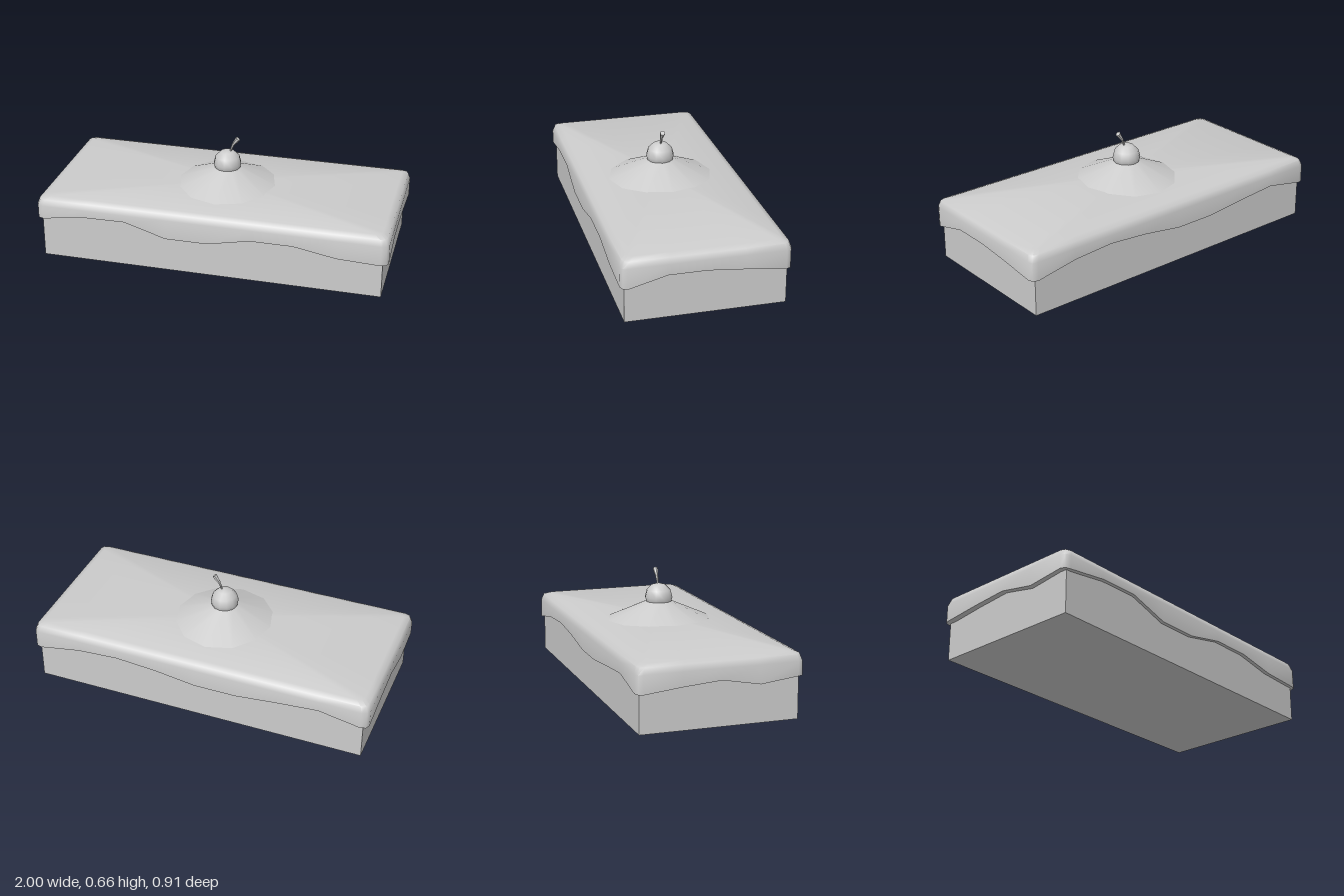
import * as THREE from 'three';
import { toCreasedNormals } from 'three/addons/utils/BufferGeometryUtils.js';

const material = new THREE.MeshStandardMaterial({ color: 0xcccccc });

function addPart(group, name, geometry, y = 0) {
  const mesh = new THREE.Mesh(geometry, material);
  mesh.name = name;
  mesh.position.y = y;
  group.add(mesh);
  return mesh;
}

// Joins closed rings of equal length, bottom to top, and caps the upper end at a point
function skinRings(rings, tip) {
  const n = rings[0].length;
  const positions = rings.flat(2).concat(tip);
  const index = [];
  for (let k = 0; k < rings.length; k++) {
    for (let i = 0; i < n; i++) {
      const a = k * n + i, b = k * n + (i + 1) % n;
      if (k === rings.length - 1) index.push(a, b, rings.length * n);
      else index.push(a, b, b + n, a, b + n, a + n);
    }
  }
  const geometry = new THREE.BufferGeometry();
  geometry.setAttribute('position', new THREE.Float32BufferAttribute(positions, 3));
  geometry.setIndex(index);
  return geometry;
}

// Icing: rounded slab whose lower edge runs in uneven drips
function icingGeometry() {
  const a = 0.998, b = 0.457;
  // Drip heights, each running counterclockwise seen from above
  const drips = {
    front: [0.24, 0.275, 0.278, 0.205, 0.205, 0.255, 0.255, 0.213, 0.203],
    left: [0.203, 0.258, 0.258, 0.238, 0.212],
    back: [0.212, 0.255, 0.27, 0.25, 0.215, 0.215, 0.24, 0.26, 0.215],
    right: [0.215, 0.238, 0.255, 0.215, 0.24],
  };
  const outline = []; // [x, z, drip height]
  const side = (heights, place, corner) => {
    heights.forEach((h, i) => {
      const t = (2 * i) / (heights.length - 1) - 1;
      outline.push([...place(t), h]);
    });
    outline.push([...corner, heights[heights.length - 1]]);
  };
  const ex = a - 0.04, ez = b - 0.035, cx = a - 0.011, cz = b - 0.01;
  side(drips.front, t => [t * ex, b], [cx, cz]);
  side(drips.left, t => [a, -t * ez], [cx, -cz]);
  side(drips.back, t => [-t * ex, -b], [-cx, -cz]);
  side(drips.right, t => [-a, t * ez], [-cx, cz]);

  const ring = (inset, y) => outline.map(([x, z, h]) =>
    [x * (1 - inset / a), y ?? h, z * (1 - inset / b)]);
  const rings = [ring(0.04), ring(0), ring(0, 0.318), ring(0.012, 0.353), ring(0.045, 0.366)];
  return toCreasedNormals(skinRings(rings, [0, 0.385, 0]), 0.9);
}

// Stem: six-sided, bent and widening towards its cut end
function stemGeometry() {
  const stations = [[0.012, 0.555, 0.004, 0.3], [0.032, 0.608, 0.008, 0.5], [0.061, 0.648, 0.015, 0.75]];
  const rings = stations.map(([x, y, r, tilt]) => Array.from({ length: 6 }, (_, i) => {
    const t = (i / 6) * Math.PI * 2;
    const u = Math.cos(t) * r;
    return [x + u * Math.cos(tilt), y - u * Math.sin(tilt), -Math.sin(t) * r];
  }));
  return toCreasedNormals(skinRings(rings, [0.061, 0.648, 0]), 0.9);
}

export function createModel() {
  const model = new THREE.Group();
  model.name = 'cake';

  // Sponge block, reaching up inside the icing
  addPart(model, 'sponge', new THREE.BoxGeometry(1.934, 0.3, 0.872), 0.15);
  addPart(model, 'icing', icingGeometry());

  // Cream mound, its rim sunk slightly into the icing
  addPart(model, 'cream', new THREE.CylinderGeometry(0.072, 0.3, 0.1, 12), 0.42);

  // Cherry and stem
  addPart(model, 'cherry', new THREE.SphereGeometry(0.08, 12, 6), 0.494);
  addPart(model, 'cherryStem', stemGeometry());
  return model;
}
